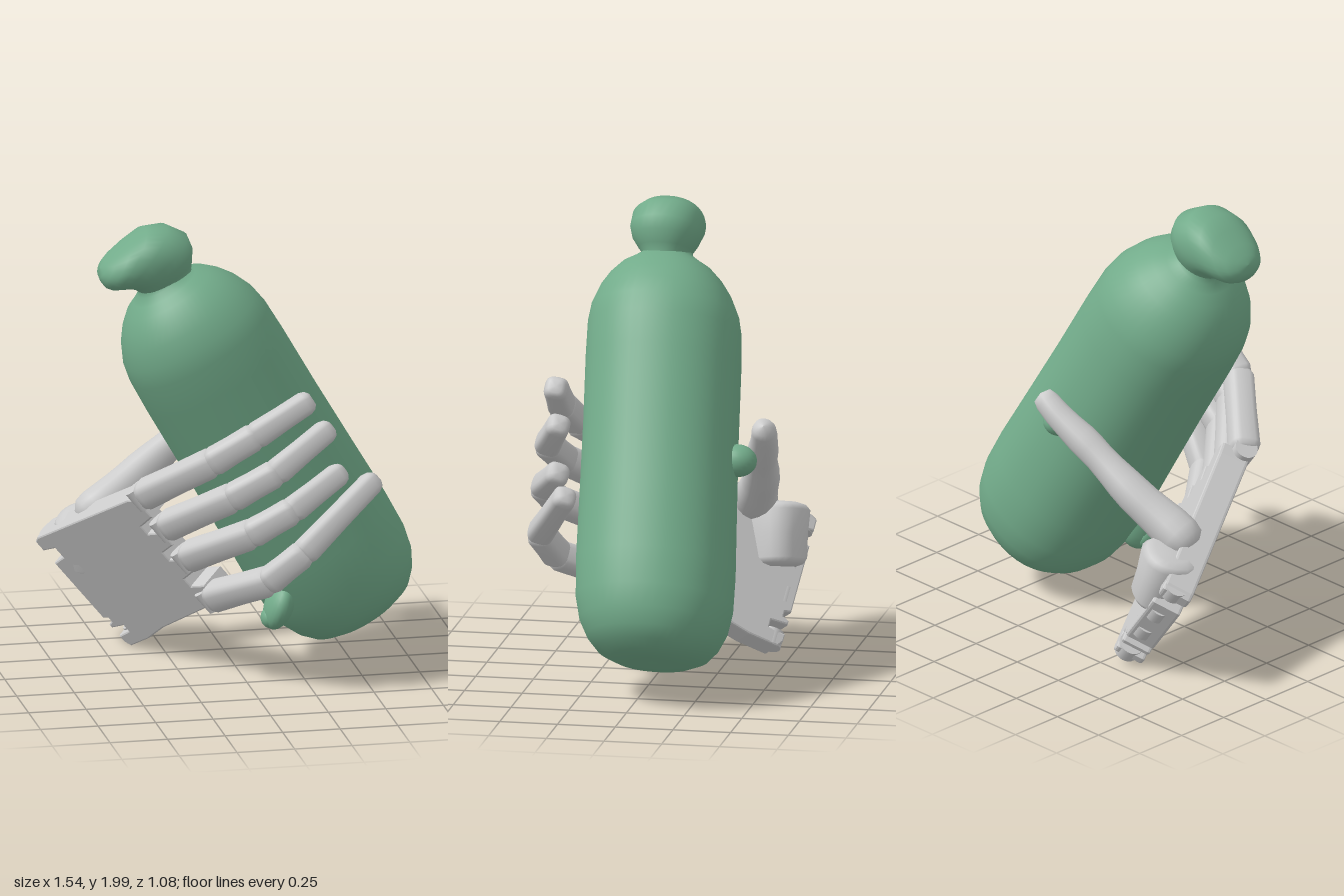
import * as THREE from 'three';

const V = (x, y, z) => new THREE.Vector3(x, y, z);
const green = new THREE.MeshStandardMaterial({ color: 0x72ab8a });
const grey = new THREE.MeshStandardMaterial({ color: 0xcccccc });

// Skin over closed rings; each section has a centre c and half-axes u, v (u x v points forward)
function loft(sections, sides = 20, power = 2) {
  const pos = [], index = [];
  const round = (t) => Math.sign(t) * Math.abs(t) ** (2 / power);
  for (const { c, u, v } of sections) {
    for (let j = 0; j < sides; j++) {
      const a = (j / sides) * Math.PI * 2;
      const p = c.clone().addScaledVector(u, round(Math.cos(a))).addScaledVector(v, round(Math.sin(a)));
      pos.push(p.x, p.y, p.z);
    }
  }
  for (let i = 0; i < sections.length - 1; i++) {
    for (let j = 0; j < sides; j++) {
      const k = (j + 1) % sides, a = i * sides, b = a + sides;
      index.push(a + j, a + k, b + k, a + j, b + k, b + j);
    }
  }
  const g = new THREE.BufferGeometry();
  g.setAttribute('position', new THREE.Float32BufferAttribute(pos, 3));
  g.setIndex(index);
  g.computeVertexNormals();
  return g;
}

function add(parent, name, geometry, material) {
  const m = new THREE.Mesh(geometry, material);
  m.name = name;
  parent.add(m);
  return m;
}

// Hand axes: wrist to knuckles, little finger to index, and out of the back of the hand
const wrist = V(-0.4, 0.02, -0.4);
const F = V(0.31, 0.37, 0.67).normalize();
const N = F.clone().cross(V(-0.36, 0.46, -0.05)).normalize();
const W = N.clone().cross(F);

// Rounded-end limb segment from a to b
function segment(a, b, ra, rb, power = 3) {
  const dir = b.clone().sub(a), len = dir.length();
  dir.normalize();
  const v = dir.clone().cross(W).normalize(), u = v.clone().cross(dir);
  const e = 0.035 / len;
  const profile = [[0, 0], [0, 0.6], [e * 0.35, 0.87], [e, 1], [0.5, 0.97], [1 - e, 1], [1 - e * 0.35, 0.85], [1, 0.58], [1, 0]];
  return loft(profile.map(([t, k]) => {
    const r = THREE.MathUtils.lerp(ra, rb, t) * k;
    return { c: a.clone().lerp(b, t), u: u.clone().multiplyScalar(r), v: v.clone().multiplyScalar(r) };
  }), 20, power);
}

function blob(parent, name, at, scale, material, rotZ = 0) {
  const m = add(parent, name, new THREE.SphereGeometry(1, 24, 16), material);
  m.position.copy(at);
  m.scale.copy(scale);
  m.rotation.z = rotZ;
}

function buildBottle() {
  const g = new THREE.Group();
  g.name = 'bottle';
  // Leaning body: distance along the axis, radius
  const profile = [[-0.115, 0], [-0.12, 0.1], [-0.112, 0.18], [-0.08, 0.245], [-0.03, 0.288], [0.04, 0.322],
    [0.14, 0.342], [0.3, 0.347], [0.6, 0.342], [0.9, 0.338], [1.2, 0.338], [1.35, 0.334], [1.43, 0.32],
    [1.51, 0.286], [1.57, 0.246], [1.62, 0.198], [1.65, 0.15], [1.675, 0.115], [1.7, 0.105]];
  const body = profile.map(([s, r]) => ({
    c: V(0.511 - 0.5 * s, 0.295 + 0.866 * s, -0.07 + 0.06 * s),
    u: V(0.866, 0.5, 0).multiplyScalar(r), v: V(0, 0, -0.98 * r),
  }));
  add(g, 'bottleBody', loft(body, 48, 2.15), green);

  // Bent stopper: lower edge x, y, upper edge x, y, half width in z
  const rings = [[-0.4, 1.66, -0.19, 1.78, 0.1], [-0.415, 1.69, -0.2, 1.805, 0.094], [-0.425, 1.71, -0.198, 1.84, 0.115],
    [-0.455, 1.73, -0.197, 1.9, 0.142], [-0.49, 1.735, -0.22, 1.955, 0.153], [-0.52, 1.733, -0.31, 2.0, 0.157],
    [-0.55, 1.732, -0.4, 1.992, 0.148], [-0.575, 1.742, -0.47, 1.945, 0.13], [-0.592, 1.765, -0.535, 1.895, 0.1],
    [-0.602, 1.79, -0.575, 1.86, 0.06], [-0.596, 1.825, -0.596, 1.825, 0]];
  add(g, 'bottleStopper', loft(rings.map(([ax, ay, bx, by, w], i) => ({
    c: V((ax + bx) / 2, (ay + by) / 2, 0.03 + Math.min(i, 4) * 0.003),
    u: V((bx - ax) / 2, (by - ay) / 2, 0), v: V(0, 0, -w),
  })), 32, 2.2), green);

  // Bulges squeezed out of the soft wall
  blob(g, 'lowerBulge', V(0.165, 0.31, 0.13), V(0.06, 0.11, 0.1), green, -0.35);
  blob(g, 'lowerBulgeTip', V(0.125, 0.255, 0.13), V(0.04, 0.045, 0.05), green);
  blob(g, 'thumbBulge', V(0.13, 0.98, -0.36), V(0.07, 0.07, 0.085), green);
  return g;
}

function buildPalm() {
  const thick = 0.11;
  // Plate with hinge slots along the wrist and between the knuckles
  const outline = [[0, 0], [0.02, -0.03], [0.16, -0.03], [0.3, -0.01], [0.72, 0], [0.76, 0.02], [0.76, 0.1], [0.68, 0.12],
    [0.68, 0.16], [0.77, 0.175], [0.77, 0.25], [0.69, 0.27], [0.69, 0.31], [0.79, 0.325], [0.79, 0.4],
    [0.7, 0.42], [0.7, 0.46], [0.81, 0.48], [0.81, 0.585], [0.75, 0.6], [0.03, 0.6], [0, 0.585], [0, 0.53],
    [0.08, 0.52], [0.08, 0.47], [0.0, 0.46], [0, 0.14], [0.03, 0.13], [0.03, 0.11], [0, 0.1],
    [0, 0.08], [0.08, 0.07], [0.08, 0.04], [0, 0.035]];
  const shape = new THREE.Shape(outline.map(([x, y]) => new THREE.Vector2(x, y)));
  const geo = new THREE.ExtrudeGeometry(shape, {
    depth: thick, bevelThickness: 0.012, bevelSize: 0.008, bevelOffset: -0.008, bevelSegments: 2,
  });
  geo.translate(0, 0, -thick - 0.012);
  geo.applyMatrix4(new THREE.Matrix4().makeBasis(F, W, N).setPosition(wrist));
  return geo;
}

function buildHand() {
  const g = new THREE.Group();
  g.name = 'hand';
  add(g, 'palm', buildPalm(), grey);

  // Joints from knuckle to tip
  const fingers = {
    indexFinger: [V(-0.43, 0.85, 0.18), V(-0.18, 1.04, 0.39), V(0.0, 1.155, 0.425), V(0.25, 1.3, 0.405)],
    middleFinger: [V(-0.33, 0.71, 0.19), V(-0.1, 0.89, 0.43), V(0.08, 1.0, 0.47), V(0.34, 1.16, 0.37)],
    ringFinger: [V(-0.24, 0.57, 0.2), V(-0.02, 0.73, 0.45), V(0.15, 0.83, 0.475), V(0.395, 0.96, 0.36)],
    littleFinger: [V(-0.13, 0.38, 0.18), V(0.06, 0.51, 0.43), V(0.2, 0.64, 0.48), V(0.55, 0.9, 0.3)],
  };
  const radii = [0.066, 0.062, 0.058, 0.05];
  for (const [name, p] of Object.entries(fingers)) {
    const f = new THREE.Group();
    f.name = name;
    g.add(f);
    for (let i = 0; i < 3; i++) {
      const d = p[i + 1].clone().sub(p[i]).normalize().multiplyScalar(0.02);
      const a = p[i].clone().sub(d), b = i < 2 ? p[i + 1].clone().add(d) : p[i + 1];
      add(f, 'fingerSegment', segment(a, b, radii[i], radii[i + 1]), grey);
    }
    // Knuckle pin joining the finger to the palm
    const pin = add(f, 'knuckle', new THREE.CylinderGeometry(0.05, 0.05, 0.1, 20), grey);
    pin.position.copy(p[0]).addScaledVector(F, -0.02);
    pin.quaternion.setFromUnitVectors(V(0, 1, 0), W);
  }

  // Thumb swept along a curve, with swollen joints
  const path = new THREE.CatmullRomCurve3([V(-0.61, 0.6, -0.3), V(-0.5, 0.67, -0.32), V(-0.33, 0.79, -0.375),
    V(-0.1, 0.96, -0.425), V(0.04, 1.06, -0.46), V(0.14, 1.14, -0.475)]);
  const widths = [0, 0.05, 0.082, 0.092, 0.09, 0.084, 0.08, 0.079, 0.075, 0.068, 0.064, 0.066, 0.066, 0.06, 0.056, 0.052, 0.042, 0];
  const steps = [0, 0.01, 0.04, 0.09, 0.16, 0.24, 0.31, 0.37, 0.44, 0.52, 0.6, 0.66, 0.72, 0.8, 0.88, 0.95, 0.985, 1];
  add(g, 'thumb', loft(steps.map((t, i) => {
    const dir = path.getTangentAt(t), v = dir.clone().cross(W).normalize();
    return { c: path.getPointAt(t), u: v.clone().cross(dir).multiplyScalar(widths[i]), v: v.multiplyScalar(widths[i]) };
  }), 18, 2.2), grey);

  // Thumb mount on the inner side of the palm
  add(g, 'thumbMount', segment(V(-0.5, 0.36, -0.42), V(-0.59, 0.62, -0.4), 0.11, 0.13, 2.4), grey);
  // Wrist hinge knobs
  for (const w of [0.0, 0.2, 0.36, 0.55]) {
    const knob = add(g, 'wristHinge', new THREE.CylinderGeometry(0.055, 0.055, 0.07, 24), grey);
    knob.position.copy(wrist).addScaledVector(F, 0.045).addScaledVector(W, w + 0.01).addScaledVector(N, -0.08);
    knob.quaternion.setFromUnitVectors(V(0, 1, 0), W);
  }
  return g;
}

export function createModel() {
  const model = new THREE.Group();
  model.name = 'handHoldingBottle';
  model.add(buildBottle(), buildHand());
  return model;
}
